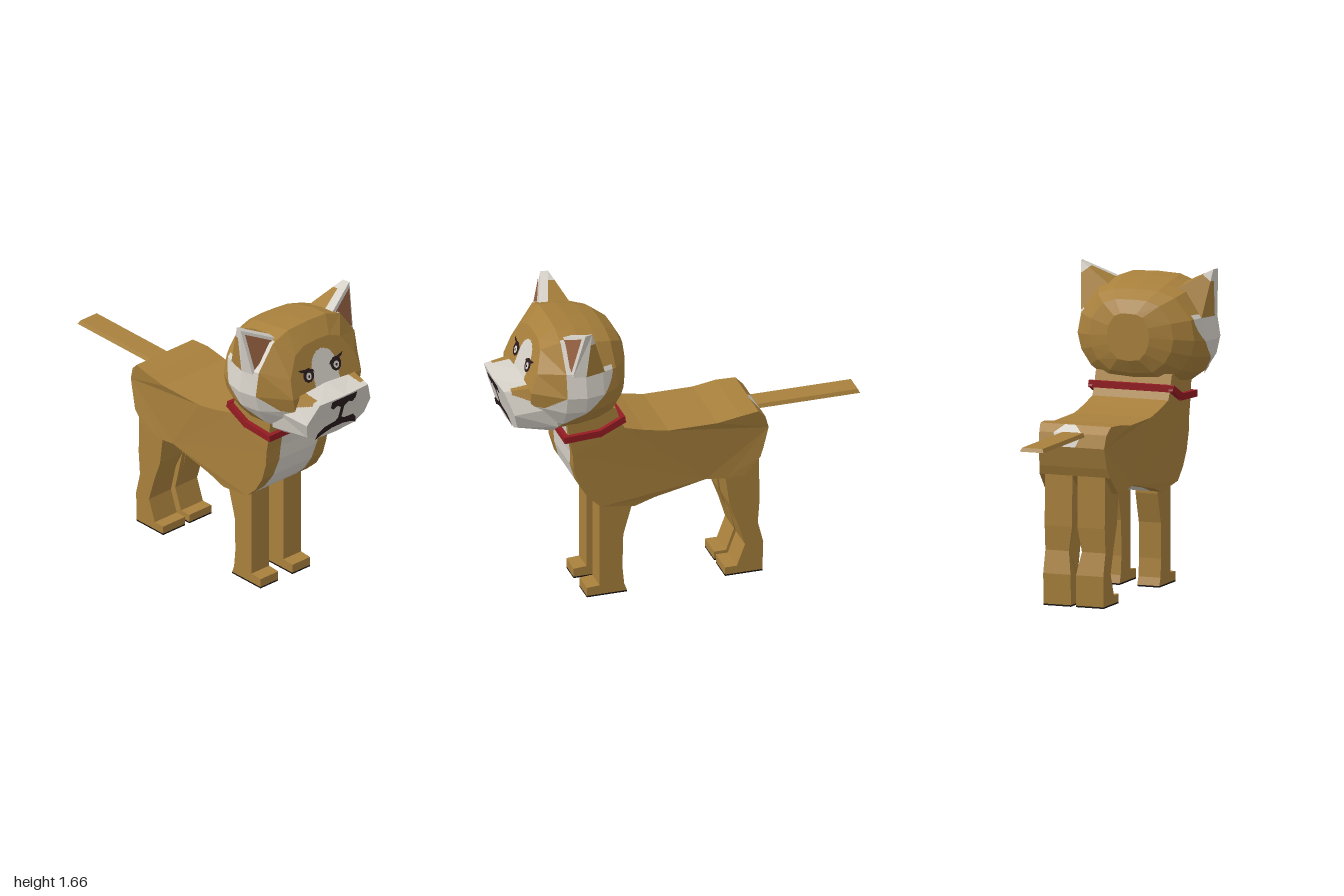
import * as THREE from 'three';

const mat = (name, color, side = THREE.FrontSide) => {
  const m = new THREE.MeshStandardMaterial({ color, side });
  m.name = name;
  return m;
};

export function createModel() {
  const dog = new THREE.Group();
  dog.name = 'dog';
  const M = {
    tan: mat('tan fur', 0xa8803c),
    white: mat('white fur', 0xd6d1c8),
    ear: mat('inner ear', 0x966142),
    red: mat('collar red', 0x941c22),
    dark: mat('dark brown', 0x2a1b1d),
    sole: mat('sole black', 0x191414),
  };

  // Collects flat triangles per colour and turns them into meshes
  const builder = (name) => {
    const tris = {};
    const tri = (c, ...pts) => (tris[c] ??= []).push(...pts.flat());
    const quad = (col, a, b, c, d) => { tri(col, a, b, c); tri(col, a, c, d); };
    const mid = (a, b) => a.map((v, i) => (v + b[i]) / 2);
    // Splits a triangle along the colour border given by a rule
    const paint = (rule, a, b, c, depth = 5) => {
      const ab = mid(a, b), bc = mid(b, c), ca = mid(c, a);
      const cen = a.map((v, i) => (v + b[i] + c[i]) / 3);
      const col = rule(...cen);
      if (!depth || (depth < 4 && [a, b, c, ab, bc, ca].every((p) => rule(...p) === col))) return tri(col, a, b, c);
      [[a, ab, ca], [ab, b, bc], [ca, bc, c], [ab, bc, ca]].forEach((t) => paint(rule, ...t, depth - 1));
    };
    const finish = (parent = dog) => {
      const g = new THREE.Group();
      g.name = name;
      for (const c in tris) {
        const geo = new THREE.BufferGeometry();
        geo.setAttribute('position', new THREE.Float32BufferAttribute(tris[c], 3));
        geo.computeVertexNormals();
        const mesh = new THREE.Mesh(geo, M[c]);
        mesh.name = `${name} ${M[c].name}`;
        g.add(mesh);
      }
      parent.add(g);
    };
    return { tri, quad, paint, finish };
  };

  // Body: side outline [x, y, half width, white stripe from z, to z]
  const W = 0.215;
  const outline = [
    [-0.4, 0.96, 0.2, 0, -0.06], [-0.44, 0.92, 0.19, 0.05, -0.11], [-0.46, 0.85, 0.185, 0.02, -0.08],
    [-0.43, 0.74, 0.19], [-0.41, 0.69, 0.2], [-0.32, 0.595, 0.205],
    [-0.22, 0.595, 0.205, 0.1, -0.1], [-0.11, 0.61, 0.205, 0.13, -0.13], [0.05, 0.575, 0.205, 0.14, -0.14],
    [0.17, 0.55, 0.205, 0.14, -0.14], [0.28, 0.515, 0.205, 0.14, -0.14], [0.47, 0.545, W, 0.16, -0.14],
    [0.54, 0.61, W, 0.15, -0.13], [0.59, 0.69, W, 0.135, -0.135], [0.62, 0.79, W, 0.12, -0.145],
    [0.625, 0.87, W, 0.115, -0.17], [0.64, 0.95, W, 0.115, -0.18], [0.66, 1.1, W, 0.12, -0.18],
    [0.39, 1.12, W], [0.36, 1.03, W], [0.34, 0.99, W], [0.23, 0.96, W], [0.1, 0.935, W],
    [-0.17, 0.935, W], [-0.3, 0.955, W],
  ];
  const body = builder('body');
  outline.forEach((p, i) => {
    const q = outline[(i + 1) % outline.length];
    const cols = ([x, y, w, s0 = 0.1, s1 = -0.1]) => [w, s0, s1, -w].map((z) => [x, y, z]);
    const a = cols(p), b = cols(q);
    for (let j = 0; j < 3; j++)
      body.quad(j === 1 && p.length > 3 && q.length > 3 ? 'white' : 'tan', a[j], a[j + 1], b[j + 1], b[j]);
  });
  const flat = outline.map(([x, y]) => new THREE.Vector2(x, y));
  for (const [a, b, c] of THREE.ShapeUtils.triangulateShape(flat, [])) {
    const at = (k, s) => [outline[k][0], outline[k][1], s * outline[k][2]];
    body.tri('tan', at(a, 1), at(b, 1), at(c, 1));
    body.tri('tan', at(a, -1), at(c, -1), at(b, -1));
  }
  body.finish();

  // Legs: extruded side outlines, with dark soles
  const shapeOf = (pts) => new THREE.Shape(pts.map(([x, y]) => new THREE.Vector2(x, y)));
  const frontLeg = [[0.315, 0.008], [0.535, 0.008], [0.535, 0.055], [0.465, 0.06], [0.465, 0.6],
    [0.29, 0.57], [0.29, 0.5], [0.335, 0.34], [0.34, 0.15], [0.33, 0.05]];
  const hindLeg = [[-0.43, 0.008], [-0.225, 0.008], [-0.225, 0.05], [-0.29, 0.05], [-0.335, 0.17],
    [-0.295, 0.3], [-0.25, 0.42], [-0.22, 0.64], [-0.41, 0.72], [-0.415, 0.42], [-0.405, 0.29], [-0.435, 0.17]];
  const box = (name, m, size, pos) => {
    const mesh = new THREE.Mesh(new THREE.BoxGeometry(...size), m);
    mesh.position.set(...pos);
    mesh.name = name;
    dog.add(mesh);
    return mesh;
  };
  for (const side of [1, -1]) {
    const label = side > 0 ? 'right' : 'left';
    for (const [name, pts, z0, z1] of [['FrontLeg', frontLeg, 0.05, 0.175], ['HindLeg', hindLeg, 0.015, 0.17]]) {
      const geo = new THREE.ExtrudeGeometry(shapeOf(pts), { depth: z1 - z0, bevelEnabled: false });
      geo.translate(0, 0, side > 0 ? z0 : -z1);
      const p = geo.attributes.position;
      // The hind leg is slimmer on the inside of the hock
      if (name === 'HindLeg') for (let i = 0; i < p.count; i++)
        if (Math.abs(p.getZ(i)) < 0.05 && Math.abs(p.getY(i) - 0.295) < 0.02) p.setZ(i, side * 0.037);
      geo.computeVertexNormals();
      const leg = new THREE.Mesh(geo, M.tan);
      leg.name = label + name;
      dog.add(leg);
      const [xa, xb] = [pts[0][0], pts[1][0]];
      box(label + name + 'Sole', M.sole, [xb - xa, 0.008, z1 - z0], [(xa + xb) / 2, 0.004, side * (z0 + z1) / 2]);
    }
  }

  // Tail: flat bar with chamfered top edges
  const tail = box('tail', M.tan, [0.6, 0.02, 0.136], [-0.7, 0.915, 0]);
  const tp = tail.geometry.attributes.position;
  for (let i = 0; i < tp.count; i++) if (tp.getY(i) > 0) {
    tp.setZ(i, tp.getZ(i) * 0.85);
    if (tp.getX(i) < 0) tp.setX(i, -0.29);
  }
  tail.geometry.computeVertexNormals();

  // Closed ring from a half outline of [x, y, z]
  const mirrorRing = (half) => [...half, ...half.slice(1, -1).reverse().map(([x, y, z]) => [x, y, -z])];
  const loft = (b, rings, rule, capFront, capBack) => {
    const n = rings[0].length;
    for (let j = 0; j < n; j++) {
      const k = (j + 1) % n;
      for (let i = 0; i + 1 < rings.length; i++) {
        const A = rings[i], B = rings[i + 1];
        b.paint(rule, A[j], A[k], B[k]);
        b.paint(rule, A[j], B[k], B[j]);
      }
      b.paint(rule, capFront, rings.at(-1)[j], rings.at(-1)[k]);
      if (capBack) b.paint(rule, capBack, rings[0][k], rings[0][j]);
    }
  };

  // Head: one section scaled along x, the last one leaning back as the face
  const section = [[0, 1], [0.37, 0.98], [0.66, 0.86], [0.94, 0.42], [1, 0], [0.94, -0.35], [0.78, -0.68], [0.5, -0.95], [0, -1]];
  const faceX = (y) => 0.86 - 0.36 * Math.max(0, y - 1.29);
  const headRings = [
    [0.31, 1.32, 0.12, 0.13, 0.12], [0.35, 1.31, 0.2, 0.19, 0.24], [0.42, 1.3, 0.255, 0.235, 0.33],
    [0.5, 1.29, 0.29, 0.25, 0.365], [0.6, 1.29, 0.31, 0.26, 0.385], [0.7, 1.29, 0.32, 0.27, 0.36],
    [null, 1.29, 0.24, 0.22, 0.24],
  ].map(([x, yc, up, down, rz]) => mirrorRing(section.map(([u, v]) => {
    const y = yc + v * (v > 0 ? up : down);
    return [x ?? faceX(y), y, u * rz];
  })));
  const headRule = (x, y, z) => {
    const az = Math.abs(z);
    const blaze = x > 0.77 && Math.hypot((z + 0.01) / 0.085, Math.max(0, y - 1.38) / 0.1) < 1;
    const cheek = x > 0.7 && y < 1.21 + Math.max(0, az - 0.27) * 0.9;
    const crescent = x <= 0.7 && az > 0.15 && y < 1.43 && x > 0.44 + 0.26 * Math.pow(Math.max(0, 1.4 - y) / 0.3, 1.6);
    const streak = x > 0.65 && x <= 0.7 && y > 1.4 && y < 1.57 && az > 0.2;
    return blaze || cheek || crescent || streak ? 'white' : 'tan';
  };
  const head = builder('head');
  loft(head, headRings, headRule, [0.86, 1.29, 0], [0.31, 1.32, 0]);
  head.finish();

  // Muzzle
  const snoutX = (y) => 0.995 - 0.3 * (1.28 - y);
  const back = [[0.84, 1.31, 0], [0.82, 1.3, 0.2], [0.74, 1.2, 0.27], [0.72, 1.08, 0.26], [0.72, 1.015, 0.17], [0.72, 1.01, 0]];
  const front = [[1.285, 0], [1.285, 0.17], [1.165, 0.225], [1.08, 0.2], [1.045, 0.13], [1.04, 0]]
    .map(([y, z]) => [snoutX(y) - 0.25 * z * z, y, z]);
  const muzzle = builder('muzzle');
  loft(muzzle, [mirrorRing(back), mirrorRing(front)],
    (x, y, z) => (Math.abs(z) > 0.15 && x < 0.95 && y > 1.2 + (x - 0.75) * 0.35 ? 'tan' : 'white'),
    [snoutX(1.17), 1.17, 0]);
  muzzle.finish();

  // Face details: thin plates laid on the sloping planes, u runs towards -z
  const plate = (name, m, pts, planeX, lift) => {
    const geo = new THREE.ShapeGeometry(shapeOf(pts));
    const p = geo.attributes.position;
    for (let i = 0; i < p.count; i++) p.setXYZ(i, planeX(p.getY(i)) + lift, p.getY(i), -p.getX(i));
    geo.computeVertexNormals();
    const mesh = new THREE.Mesh(geo, m);
    mesh.name = name;
    dog.add(mesh);
  };
  const disc = (u, v, r) => Array.from({ length: 10 }, (_, i) =>
    [u + r * Math.cos(i * Math.PI / 5), v + r * Math.sin(i * Math.PI / 5)]);
  for (const [side, u] of [[-1, -0.107], [1, 0.087]]) {
    const label = side > 0 ? 'left' : 'right';
    plate(label + 'Eye', M.dark, disc(u, 1.378, 0.037), faceX, 0.004);
    plate(label + 'EyeWhite', M.white, disc(u, 1.374, 0.019), faceX, 0.006);
    plate(label + 'Pupil', M.dark, disc(u, 1.374, 0.007), faceX, 0.008);
    const brow = [[u - side * 0.045, 1.385], [u + side * 0.045, 1.405], [u + side * 0.06, 1.422], [u - side * 0.035, 1.402]];
    plate(label + 'Brow', M.dark, brow, faceX, 0.005);
  }
  plate('nose', M.dark, [[-0.09, 1.28], [-0.09, 1.24], [-0.065, 1.22], [-0.04, 1.235], [-0.012, 1.215], [-0.012, 1.14],
    [0.012, 1.14], [0.012, 1.215], [0.04, 1.235], [0.065, 1.22], [0.085, 1.24], [0.085, 1.28]], snoutX, 0.004);
  plate('mouth', M.dark, [[-0.15, 1.045], [-0.14, 1.085], [-0.1, 1.115], [-0.03, 1.125], [0, 1.15], [0.03, 1.125], [0.1, 1.12],
    [0.125, 1.09], [0.135, 1.05], [0.1, 1.07], [0.04, 1.085], [-0.04, 1.085], [-0.11, 1.065]], snoutX, 0.004);

  // Ears: hollow-looking pyramids with a white rim and tip
  for (const side of [1, -1]) {
    const ear = builder(side > 0 ? 'rightEar' : 'leftEar');
    const lerp = (a, b, t) => a.map((v, i) => v + (b[i] - v) * t);
    const add = (col, ...pts) => {
      const p = pts.map(([x, y, z]) => [x, y, z * side]);
      if (side < 0) p.reverse();
      for (let i = 1; i + 1 < p.length; i++) ear.tri(col, p[0], p[i], p[i + 1]);
    };
    const A = [0.69, 1.56, 0.17], B = [0.67, 1.41, 0.355], C = [0.49, 1.41, 0.34], D = [0.5, 1.54, 0.165];
    const S = [0.6, 1.41, 0.37], N = [0.64, 1.56, 0.16], T1 = [0.57, 1.66, 0.375], T2 = [0.61, 1.66, 0.385];
    const tipped = (p, q) => {
      const p2 = lerp(p, T1, 0.75), q2 = lerp(q, T1, 0.75);
      add('tan', p, q, q2, p2);
      add('white', p2, q2, T1);
    };
    tipped(D, C);
    tipped(C, S);
    tipped(N, D);
    add('white', S, B, T2, T1);
    add('white', A, N, T1, T2);
    add('white', A, T2, B);
    const cen = A.map((v, i) => (v + B[i] + T2[i]) / 3);
    add('ear', ...[A, T2, B].map((p) => lerp(p, cen, 0.2)).map(([x, y, z]) => [x + 0.007, y, z]));
    ear.finish();
  }

  // Collar: bars around the neck, dipping towards the chest
  const half = [[0.355, 1.05], [0.48, 0.99], [0.665, 0.98]];
  const loop = [...half.map(([x, y]) => [x, y, 0.228]), ...half.slice().reverse().map(([x, y]) => [x, y, -0.228])];
  loop.forEach((p, i) => {
    const a = new THREE.Vector3(...p), b = new THREE.Vector3(...loop[(i + 1) % loop.length]);
    const bar = box('collar', M.red, [0.024, 0.036, a.distanceTo(b) + 0.02], a.clone().lerp(b, 0.5).toArray());
    bar.lookAt(b);
  });
  return dog;
}
